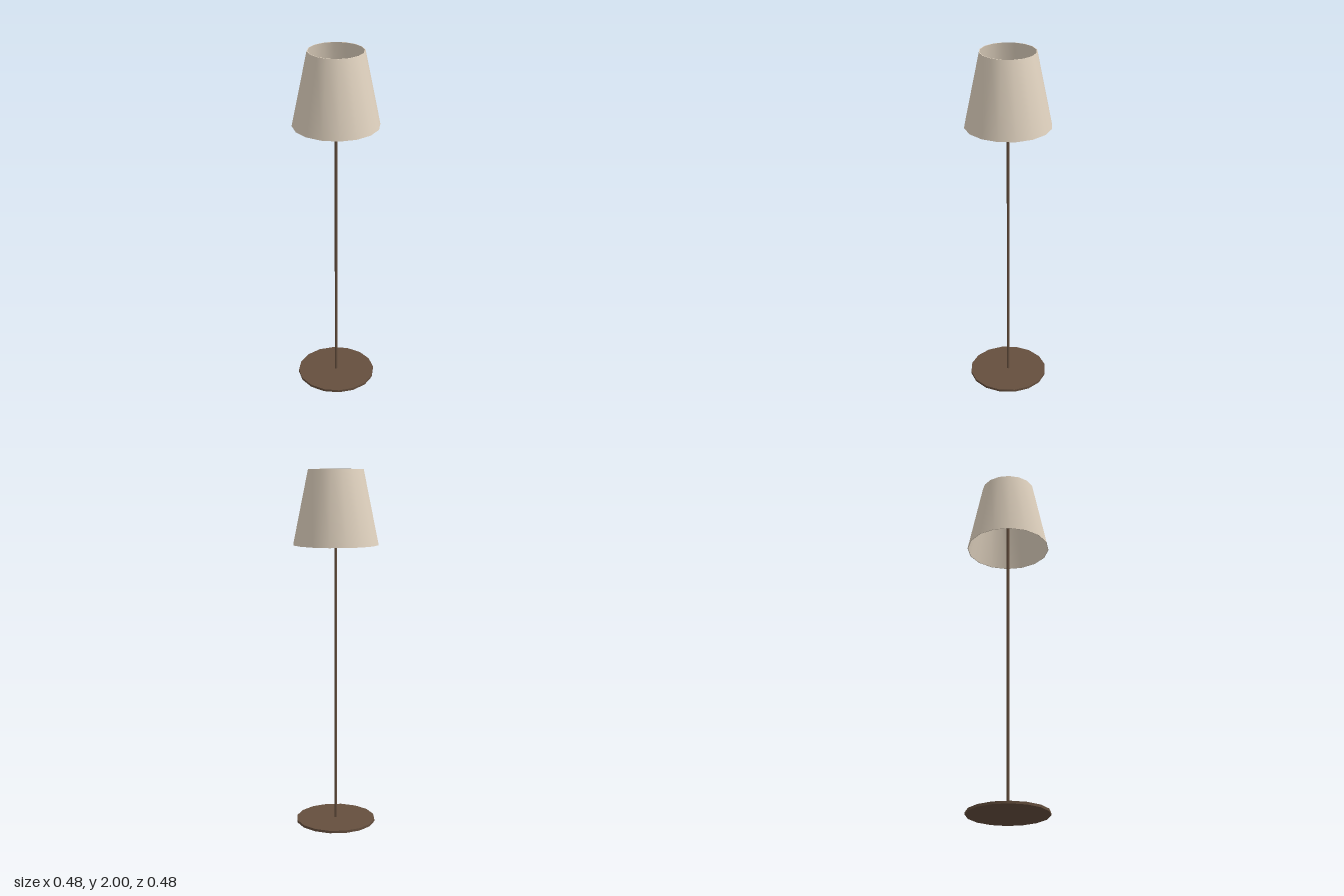
import * as THREE from 'three';
import { toCreasedNormals } from 'three/addons/utils/BufferGeometryUtils.js';

const SIDES = 16;

export function createModel() {
  const lamp = new THREE.Group();
  lamp.name = 'floorLamp';

  const material = (name, color) => {
    const m = new THREE.MeshStandardMaterial({ color });
    m.name = name;
    return m;
  };
  const bronze = material('bronze', 0x654f3e);
  const linen = material('linen', 0xe0d2bf);
  const bulbWhite = material('bulbWhite', 0xf0f0f0);

  const add = (name, geometry, mat, y) => {
    const mesh = new THREE.Mesh(geometry, mat);
    mesh.name = name;
    mesh.position.y = y;
    lamp.add(mesh);
  };

  // Flat round foot and slim pole
  add('base', new THREE.CylinderGeometry(0.225, 0.225, 0.014, SIDES), bronze, 0.007);
  add('pole', new THREE.CylinderGeometry(0.008, 0.008, 1.766, 8), bronze, 0.893);

  // Bulb on top of the pole
  add('bulb', new THREE.SphereGeometry(0.035, 16, 12), bulbWhite, 1.8);

  // Open tapered shade with a thin wall: outside, top rim, inside, bottom rim
  const profile = [
    [0.238, 1.59], [0.153, 2], [0.149, 2], [0.234, 1.59], [0.238, 1.59],
  ].map(([r, y]) => new THREE.Vector2(r, y));
  const shade = toCreasedNormals(new THREE.LatheGeometry(profile, SIDES), 0.6);
  add('shade', shade, linen, 0);

  return lamp;
}
